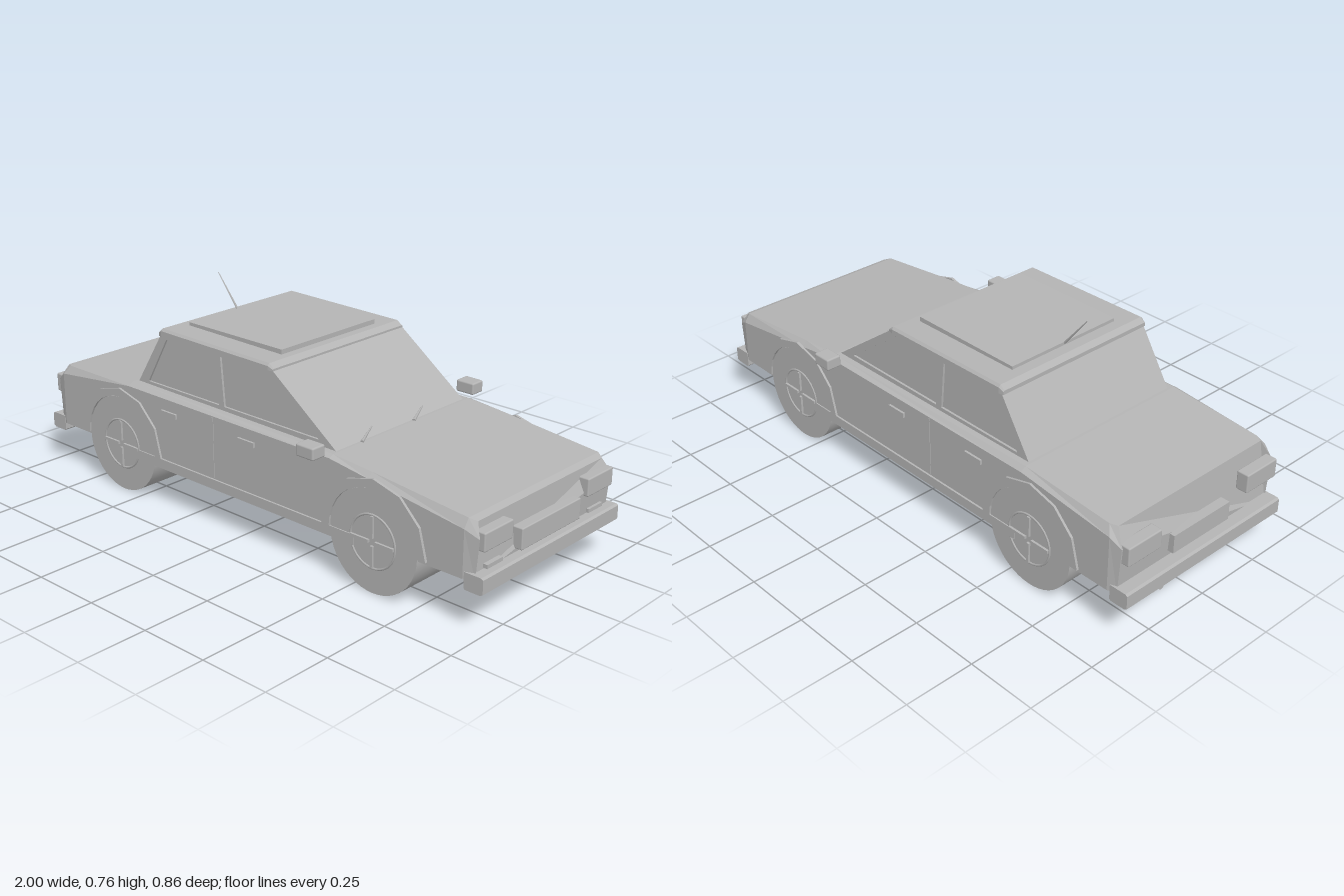
import * as THREE from 'three';
import { RoundedBoxGeometry } from 'three/addons/geometries/RoundedBoxGeometry.js';

export function createModel() {
  const car = new THREE.Group();
  car.name = 'sedan';
  const grey = new THREE.MeshStandardMaterial({ color: 0xb4b4b4 });
  grey.name = 'plain grey';

  const add = (name, geo) => {
    const m = new THREE.Mesh(geo, grey);
    m.name = name;
    car.add(m);
    return m;
  };
  // box given by its limits on each axis, with softened edges if r is set
  const box = (name, x0, x1, y0, y1, z0, z1, r = 0) => {
    const size = [x1 - x0, y1 - y0, z1 - z0];
    const geo = r ? new RoundedBoxGeometry(...size, 2, r) : new THREE.BoxGeometry(...size);
    return add(name, geo.translate((x0 + x1) / 2, (y0 + y1) / 2, (z0 + z1) / 2));
  };
  // same box on both sides of the car
  const pair = (name, x0, x1, y0, y1, z0, z1, r) => {
    box(name + 'Left', x0, x1, y0, y1, z0, z1, r);
    box(name + 'Right', x0, x1, y0, y1, -z1, -z0, r);
  };
  // side outline extruded across z0..z1
  const outline = (pts) => new THREE.Shape(pts.map(([x, y]) => new THREE.Vector2(x, y)));
  const slab = (shape, z0, z1) =>
    new THREE.ExtrudeGeometry(shape, { depth: z1 - z0, bevelEnabled: false }).translate(0, 0, z0);
  // thin rod between two points
  const rod = (name, a, b, r0, r1) => {
    const p = new THREE.Vector3(...a), q = new THREE.Vector3(...b);
    const d = q.clone().sub(p);
    const m = add(name, new THREE.CylinderGeometry(r1, r0, d.length(), 6));
    m.position.copy(p).add(q).multiplyScalar(0.5);
    m.quaternion.setFromUnitVectors(new THREE.Vector3(0, 1, 0), d.normalize());
  };

  // Loft of matching sections from rear to front, closed at both ends, with hard edges
  const loft = (rings) => {
    const pos = [];
    const tri = (a, b, c) => pos.push(...a, ...b, ...c);
    const n = rings[0].length;
    for (let i = 0; i < rings.length - 1; i++) {
      for (let j = 0; j < n; j++) {
        const k = (j + 1) % n;
        const a = rings[i][j], b = rings[i][k], c = rings[i + 1][k], d = rings[i + 1][j];
        tri(a, b, c);
        tri(a, c, d);
      }
    }
    const first = rings[0], last = rings[rings.length - 1];
    for (let j = 1; j < n - 1; j++) {
      tri(first[0], first[j + 1], first[j]);
      tri(last[0], last[j], last[j + 1]);
    }
    const g = new THREE.BufferGeometry();
    g.setAttribute('position', new THREE.Float32BufferAttribute(pos, 3));
    g.computeVertexNormals();
    return g;
  };

  // Body: x at bottom, shoulder, top; y at bottom, shoulder, top; half width
  const sections = [
    [-0.95, -0.96, -0.925, 0.165, 0.33, 0.388, 0.35],
    [-0.92, -0.92, -0.9, 0.165, 0.36, 0.39, 0.362],
    [-0.55, -0.55, -0.55, 0.165, 0.402, 0.415, 0.363],
    [0.4, 0.4, 0.4, 0.165, 0.398, 0.406, 0.363],
    [0.56, 0.56, 0.56, 0.165, 0.376, 0.393, 0.363],
    [0.925, 0.925, 0.925, 0.165, 0.325, 0.355, 0.36],
    [0.96, 0.972, 0.948, 0.165, 0.3, 0.346, 0.345],
  ];
  add('body', loft(sections.map(([xb, xs, xt, yb, ys, yt, w]) => [
    [xb, yb, w], [xb, yb, -w], [xs, ys, -w],
    [xt, yt, -w + 0.02], [xt, yt, w - 0.02], [xs, ys, w],
  ])));
  box('floor', -0.53, 0.52, 0.145, 0.17, -0.35, 0.35);
  pair('sill', -0.53, 0.51, 0.14, 0.175, 0.345, 0.37);

  // Cabin with glass set back behind raised frames
  const profile = [[-0.55, 0.4], [0.4, 0.4], [0.11, 0.612], [-0.415, 0.612]];
  add('cabin', slab(outline(profile), -0.313, 0.313));
  const frame = outline(profile);
  frame.holes.push(
    outline([[-0.49, 0.425], [-0.39, 0.597], [-0.15, 0.597], [-0.135, 0.425]]),
    outline([[-0.11, 0.425], [-0.125, 0.597], [0.085, 0.597], [0.32, 0.425]]));
  add('windowFrameLeft', slab(frame, 0.313, 0.321));
  add('windowFrameRight', slab(frame, -0.321, -0.313));

  // Roof with chamfered rim and a raised panel
  const roofRing = (x, y0, y1, w, c) => [
    [x, y0, w], [x, y0, -w], [x, y1 - c, -w], [x, y1, -w + c], [x, y1, w - c], [x, y1 - c, w],
  ];
  add('roof', loft([
    roofRing(-0.427, 0.604, 0.618, 0.321, 0.004),
    roofRing(-0.41, 0.604, 0.633, 0.325, 0.008),
    roofRing(0.1, 0.604, 0.627, 0.325, 0.008),
    roofRing(0.12, 0.604, 0.612, 0.321, 0.003),
  ]));
  box('roofPanel', -0.37, 0.07, 0.62, 0.644, -0.23, 0.23);
  rod('antenna', [-0.37, 0.64, 0], [-0.465, 0.757, 0], 0.004, 0.0015);

  // Windscreen wipers
  for (const z of [0.208, -0.05]) {
    rod('wiper', [0.4, 0.407, z], [0.368, 0.428, z - 0.084], 0.006, 0.002);
  }

  // Mirrors, door handles and door seams
  pair('mirror', 0.322, 0.395, 0.405, 0.447, 0.374, 0.431, 0.006);
  for (const x of [-0.375, 0]) pair('doorHandle', x, x + 0.075, 0.343, 0.36, 0.36, 0.371);
  pair('doorSeam', -0.126, -0.12, 0.18, 0.395, 0.36, 0.365);

  // Wheels run the full width, with hub caps, spokes and angular arch trims
  const arc = (r, n, flip) => Array.from({ length: n + 1 }, (_, i) => {
    const a = Math.PI * (flip ? 1 - i / n : i / n);
    return [r * Math.cos(a), r * Math.sin(a)];
  });
  const archShape = outline([...arc(0.21, 6, false), ...arc(0.178, 16, true)]);
  for (const [name, x] of [['front', 0.585], ['rear', -0.595]]) {
    const wheel = add(name + 'Wheels', new THREE.CylinderGeometry(0.175, 0.175, 0.732, 48).rotateX(Math.PI / 2));
    wheel.position.set(x, 0.175, 0);
    for (const s of [1, -1]) {
      const hub = add(name + 'HubRing', new THREE.TorusGeometry(0.09, 0.004, 6, 32));
      hub.position.set(x, 0.175, s * 0.366);
      add(name + 'ArchTrim', slab(archShape, -0.005, 0.005)).position.set(x, 0.175, s * 0.366);
      const z0 = s > 0 ? 0.364 : -0.374;
      for (const d of [-1, 1]) {
        const c = d * 0.05;
        box(name + 'Spoke', x + c - 0.037, x + c + 0.037, 0.17, 0.18, z0, z0 + 0.01);
        box(name + 'Spoke', x - 0.005, x + 0.005, 0.138 + c, 0.212 + c, z0, z0 + 0.01);
      }
    }
  }

  // Bumpers with a chamfered outer lower edge
  const bumper = outline([
    [0.93, 0.138], [0.935, 0.133], [0.99, 0.133], [1, 0.138], [1, 0.185], [0.992, 0.19], [0.93, 0.19],
  ]);
  add('frontBumper', slab(bumper, -0.36, 0.36));
  add('rearBumper', slab(bumper, -0.36, 0.36).rotateY(Math.PI));

  // Nose and tail fittings
  pair('headlight', 0.94, 0.985, 0.26, 0.322, 0.198, 0.338, 0.005);
  box('grille', 0.94, 0.988, 0.203, 0.275, -0.155, 0.155, 0.004);
  pair('turnSignal', 0.94, 0.973, 0.193, 0.206, 0.228, 0.305);
  pair('tailLight', -0.985, -0.94, 0.275, 0.343, 0.2, 0.345, 0.005);
  box('rearPlate', -0.975, -0.94, 0.21, 0.275, -0.13, 0.13);
  const pipe = add('exhaustPipe', new THREE.CylinderGeometry(0.012, 0.012, 0.09, 12).rotateZ(Math.PI / 2));
  pipe.position.set(-0.95, 0.135, -0.2);

  return car;
}
